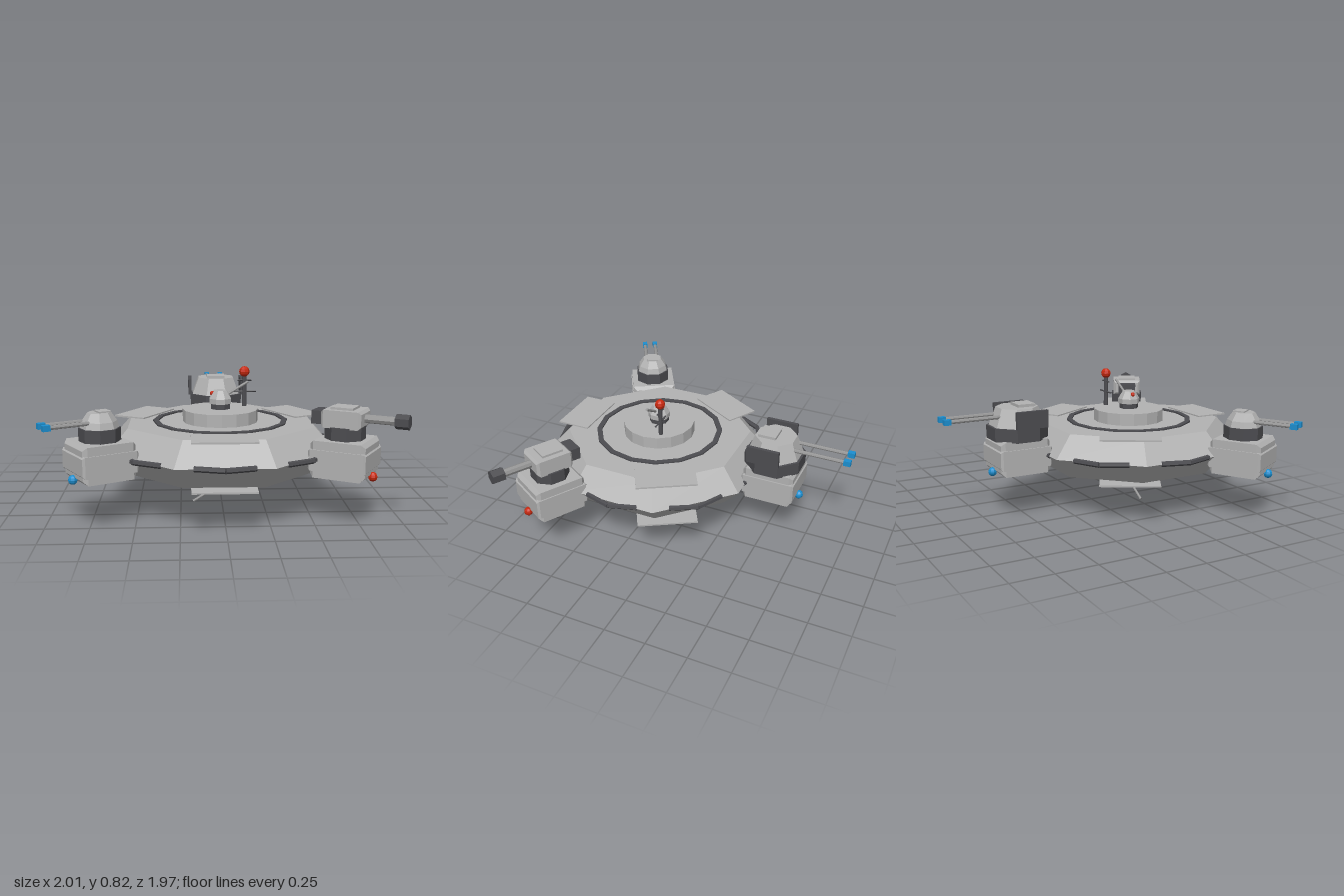
import * as THREE from 'three';

const mat = (name, color) => {
  const m = new THREE.MeshStandardMaterial({ color, flatShading: true });
  m.name = name;
  return m;
};

export function createModel() {
  const hull = mat('hull grey', 0xb2b2b2);
  const dark = mat('dark grey', 0x4c4c50);
  const metal = mat('barrel grey', 0x949494);
  const red = mat('red light', 0xc8290f);
  const blue = mat('blue light', 0x1c8fd0);

  const add = (parent, name, geo, m, x = 0, y = 0, z = 0) => {
    const mesh = new THREE.Mesh(geo, m);
    mesh.name = name;
    mesh.position.set(x, y, z);
    parent.add(mesh);
    return mesh;
  };
  const group = (parent, name) => {
    const g = new THREE.Group();
    g.name = name;
    parent.add(g);
    return g;
  };
  const box = (p, name, m, w, h, d, x, y, z) => add(p, name, new THREE.BoxGeometry(w, h, d), m, x, y, z);
  const ball = (p, name, m, r, x, y, z) => add(p, name, new THREE.SphereGeometry(r, 8, 6), m, x, y, z);
  // prism with flat sides facing the axes; radii are measured to the flats
  const prism = (p, name, m, r0, r1, y0, y1, z = 0, n = 8) => {
    const k = 1 / Math.cos(Math.PI / n);
    const geo = new THREE.CylinderGeometry(r1 * k, r0 * k, y1 - y0, n).rotateY(Math.PI / n);
    return add(p, name, geo, m, 0, (y0 + y1) / 2, z);
  };
  // straight rod between two points
  const rod = (p, name, m, a, b, r, n = 8) => {
    const from = new THREE.Vector3(...a), dir = new THREE.Vector3(...b).sub(from);
    const mesh = add(p, name, new THREE.CylinderGeometry(r, r, dir.length(), n), m);
    mesh.position.copy(from).addScaledVector(dir, 0.5);
    mesh.quaternion.setFromUnitVectors(new THREE.Vector3(0, 1, 0), dir.normalize());
    return mesh;
  };
  // box with chamfered edges
  const chamferBox = (p, name, m, w, h, d, c, x, y, z) => {
    const a = w / 2 - c, b = h / 2 - c;
    const s = new THREE.Shape([[-a, -b], [a, -b], [a, b], [-a, b]].map(q => new THREE.Vector2(...q)));
    const geo = new THREE.ExtrudeGeometry(s, { depth: d - 2 * c, bevelThickness: c, bevelSize: c, bevelSegments: 1 });
    return add(p, name, geo.translate(0, 0, c - d / 2), m, x, y, z);
  };

  const model = new THREE.Group();
  model.name = 'spaceStation';
  const station = group(model, 'station');
  station.position.set(-0.01, 0.385, 0.27);

  // octagonal saucer
  prism(station, 'upperHull', hull, 0.655, 0.54, 0, 0.133);
  prism(station, 'lowerHull', hull, 0.54, 0.655, -0.133, 0);

  // rim handrails
  for (let i = 0; i < 8; i++) {
    const rail = group(station, 'handrail');
    rail.rotation.y = i * Math.PI / 4;
    for (const s of [-1, 1]) rod(rail, 'railBar', dark, [s * 0.165, 0, 0.645], [0, 0, 0.693], 0.016, 6);
  }

  // upper and lower decks; the lower one is turned half over
  for (const side of ['upper', 'lower']) {
    const deck = group(station, side + 'Deck');
    if (side === 'lower') deck.rotation.z = Math.PI;
    const ring = [[0.37, 0.13], [0.402, 0.13], [0.402, 0.142], [0.37, 0.142], [0.37, 0.13]];
    add(deck, 'deckRing', new THREE.LatheGeometry(ring.map(q => new THREE.Vector2(...q)), 16), dark);
    add(deck, 'hub', new THREE.CylinderGeometry(0.225, 0.225, 0.075, 16), hull, 0, 0.17, 0);
    for (let i = 0; i < 3; i++) {
      const arm = group(deck, 'panelArm');
      arm.rotation.y = i * Math.PI * 2 / 3;
      box(arm, 'deckPanel', hull, 0.36, 0.01, 0.21, 0, 0.136, 0.535);
    }
    // small sensor dome with its aerial
    prism(deck, 'domeNeck', dark, 0.056, 0.056, 0.2, 0.245);
    prism(deck, 'domeWall', hull, 0.064, 0.064, 0.24, 0.27);
    prism(deck, 'domeTop', hull, 0.064, 0.036, 0.27, 0.318);
    rod(deck, 'domeAerial', metal, [0.03, 0.285, 0], [0.165, 0.368, 0], 0.008);
    ball(deck, 'domeLight', red, 0.014, -0.048, 0.3, 0);
  }

  // mast
  const mast = group(station, 'mast');
  mast.position.set(0.15, 0, -0.085);
  rod(mast, 'mastPole', dark, [0, 0.2, 0], [0, 0.4, 0], 0.014);
  rod(mast, 'lowCrossbar', dark, [-0.07, 0.297, 0], [0.07, 0.297, 0], 0.005);
  rod(mast, 'highCrossbar', dark, [-0.042, 0.365, 0], [0.042, 0.365, 0], 0.005);
  ball(mast, 'mastLight', red, 0.032, 0, 0.418, 0);

  // weapon pods, each pointing outwards along its own z
  const pod = (name, angle, lightMat) => {
    const g = group(station, name);
    g.rotation.y = angle;
    chamferBox(g, 'podBody', hull, 0.29, 0.21, 0.315, 0.022, 0, 0, 0.787);
    chamferBox(g, 'podBand', hull, 0.305, 0.12, 0.33, 0.012, 0, -0.005, 0.787);
    ball(g, 'podLight', lightMat, 0.027, 0, -0.097, 0.952);
    return g;
  };
  const twinBarrels = (g, y, z0, z1, gap) => {
    for (const s of [-1, 1]) {
      rod(g, 'barrel', metal, [s * gap, y, z0], [s * gap, y, z1 - 0.03], 0.012);
      box(g, 'muzzle', blue, 0.032, 0.032, 0.042, s * gap, y, z1 - 0.02);
    }
  };

  // large rear turret
  const rear = pod('rearPod', Math.PI, blue);
  prism(rear, 'turretBase', dark, 0.172, 0.172, 0.1, 0.18, 0.785);
  prism(rear, 'turretHead', hull, 0.158, 0.118, 0.18, 0.29, 0.785);
  box(rear, 'hatch', hull, 0.12, 0.03, 0.11, 0, 0.292, 0.745);
  for (const s of [-1, 1]) box(rear, 'sidePlate', dark, 0.022, 0.105, 0.2, s * 0.178, 0.235, 0.765);
  twinBarrels(rear, 0.243, 0.88, 1.258, 0.048);

  // small turret on the right
  const right = pod('rightPod', -Math.PI / 3, blue);
  prism(right, 'turretBase', dark, 0.108, 0.108, 0.1, 0.178, 0.785);
  prism(right, 'turretHeadLower', hull, 0.1, 0.09, 0.178, 0.215, 0.785);
  prism(right, 'turretHeadUpper', hull, 0.09, 0.06, 0.215, 0.262, 0.785);
  box(right, 'hatch', hull, 0.075, 0.02, 0.07, 0, 0.26, 0.765);
  twinBarrels(right, 0.213, 0.84, 1.125, 0.037);

  // single cannon on the left
  const left = pod('leftPod', Math.PI / 3, red);
  prism(left, 'turretBase', dark, 0.106, 0.106, 0.1, 0.178, 0.785);
  chamferBox(left, 'cannonHead', hull, 0.19, 0.1, 0.23, 0.015, 0, 0.222, 0.785);
  box(left, 'hatch', hull, 0.12, 0.02, 0.13, 0, 0.275, 0.78);
  box(left, 'rearBlock', dark, 0.12, 0.075, 0.08, 0, 0.22, 0.645);
  rod(left, 'cannonBarrel', metal, [0, 0.225, 0.88], [0, 0.225, 1.09], 0.024);
  rod(left, 'cannonMuzzle', dark, [0, 0.225, 1.07], [0, 0.225, 1.145], 0.042, 6);

  return model;
}
